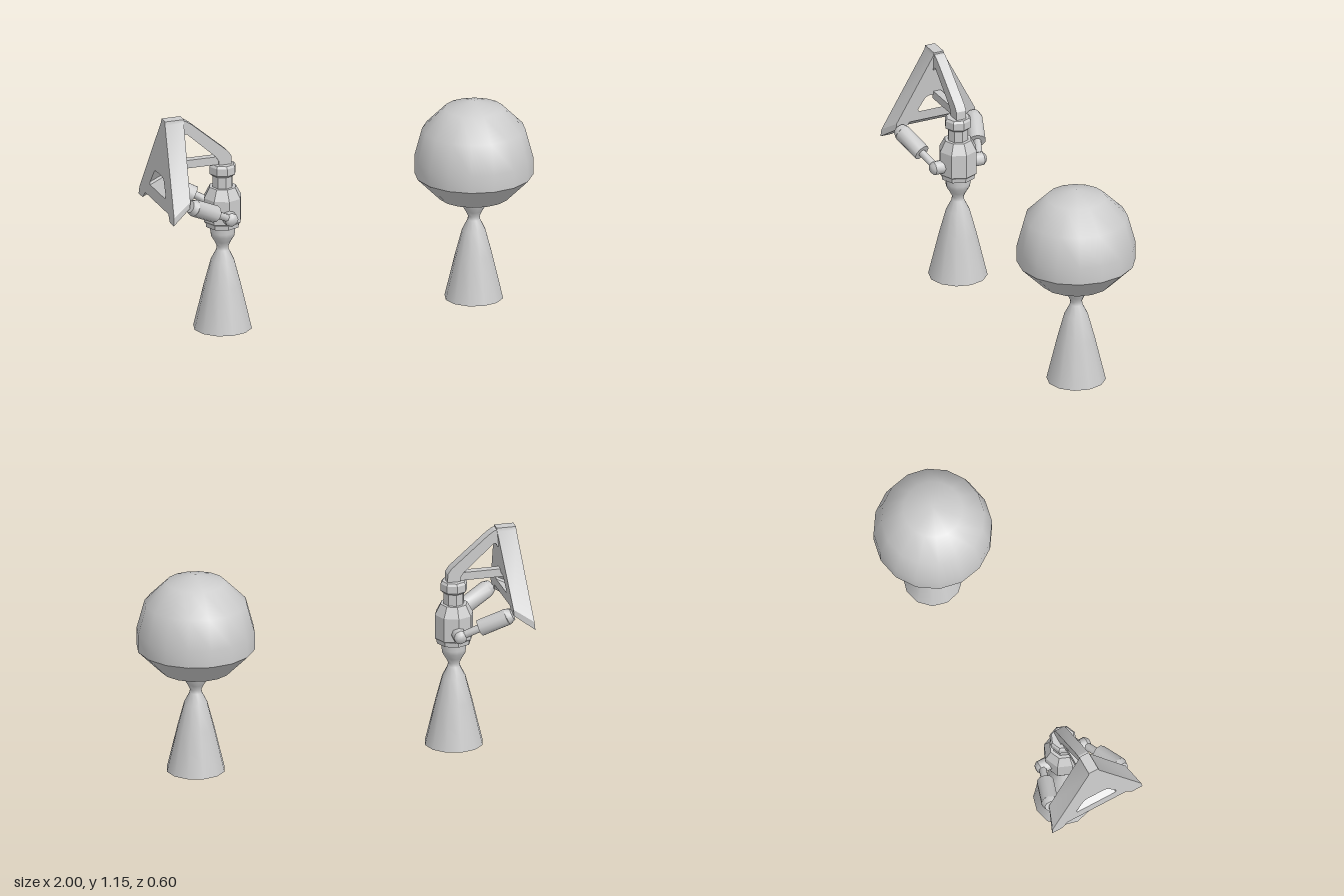
import * as THREE from 'three';
import { toCreasedNormals } from 'three/addons/utils/BufferGeometryUtils.js';

const solid = new THREE.MeshStandardMaterial({ color: 0xcccccc });
const thin = new THREE.MeshStandardMaterial({ color: 0xcccccc, side: THREE.DoubleSide });

const ENGINE_X = -0.645, TANK_X = 0.7;

function add(parent, name, geometry, material = solid) {
  const mesh = new THREE.Mesh(geometry, material);
  mesh.name = name;
  parent.add(mesh);
  return mesh;
}

// Profile of [radius, height] pairs, bottom to top
function lathe(points, sides, crease) {
  const g = new THREE.LatheGeometry(points.map(p => new THREE.Vector2(...p)), sides);
  return crease === undefined ? g : toCreasedNormals(g, crease);
}

function polygon(points, Type = THREE.Shape) {
  return new Type(points.map(p => new THREE.Vector2(...p)));
}

// Cylinder between two points
function rod(parent, name, a, b, radius, sides, endRadius = radius) {
  const dir = b.clone().sub(a);
  const g = toCreasedNormals(new THREE.CylinderGeometry(endRadius, radius, dir.length(), sides), 0.9);
  const mesh = add(parent, name, g);
  mesh.position.copy(a).add(b).multiplyScalar(0.5);
  mesh.quaternion.setFromUnitVectors(new THREE.Vector3(0, 1, 0), dir.normalize());
}

// Open bell nozzle with throat and combustion chamber
function addNozzle(parent, x, y) {
  const bell = lathe([[0.15, 0], [0.095, 0.23], [0.06, 0.36], [0.032, 0.415], [0.03, 0.435],
    [0.042, 0.46], [0.06, 0.49], [0.063, 0.51], [0.063, 0.55]], 12);
  add(parent, 'nozzle', bell, thin).position.set(x, y, 0);
}

// Triangular mounting plate: tilted, narrower on its inner face, with a slot and a notched foot edge
function mountingPlate() {
  const shape = polygon([[-0.26, 0.675], [-0.2, 0.675], [-0.17, 0.71], [0.17, 0.71], [0.2, 0.675],
    [0.26, 0.675], [0.255, 0.715], [0.03, 1.13], [0.027, 1.15], [-0.027, 1.15], [-0.03, 1.13], [-0.255, 0.715]]);
  shape.holes.push(polygon([[-0.11, 0.77], [-0.115, 0.785], [-0.07, 0.855], [-0.05, 0.865],
    [0.05, 0.865], [0.07, 0.855], [0.115, 0.785], [0.11, 0.77]], THREE.Path));
  const g = new THREE.ExtrudeGeometry(shape, { depth: 1, bevelEnabled: false });
  g.rotateY(Math.PI / 2);
  const p = g.attributes.position;
  for (let i = 0; i < p.count; i++) {
    const t = p.getX(i), y = p.getY(i), h = (y - 0.675) / 0.475;
    p.setXYZ(i, -1 + 0.038 * h + 0.1 * t, y + 0.07 * t * (1 - h), p.getZ(i) * (1 - 0.15 * t * (1 - h)));
  }
  return toCreasedNormals(g, 0.4);
}

export function createModel() {
  const root = new THREE.Group();
  root.name = 'twoThrusters';

  // Tank engine: domed tank with conical underside
  const tankEngine = new THREE.Group();
  tankEngine.name = 'tankEngine';
  root.add(tankEngine);
  addNozzle(tankEngine, TANK_X, 0);
  const dome = [90, 60, 30, 0].map(d => {
    const a = (90 - d) * Math.PI / 180;
    return [0.3 * Math.cos(a), 0.75 + 0.3 * Math.sin(a)];
  });
  add(tankEngine, 'tank', lathe([[0, 0.54], [0.18, 0.54], [0.3, 0.66], ...dome], 16, 0.62))
    .position.x = TANK_X;

  // Gimballed engine
  const armEngine = new THREE.Group();
  armEngine.name = 'gimballedEngine';
  root.add(armEngine);
  addNozzle(armEngine, ENGINE_X, 0.007);
  const body = lathe([[0, 0.55], [0.088, 0.55], [0.09, 0.57], [0.099, 0.58], [0.099, 0.705],
    [0.07, 0.76], [0.053, 0.76], [0.053, 0.83], [0, 0.83]], 8, 0.3);
  add(armEngine, 'engineBody', body).position.x = ENGINE_X;
  const collar = lathe([[0, 0.82], [0.055, 0.82], [0.069, 0.832], [0.069, 0.87], [0.06, 0.882], [0, 0.882]], 8, 0.3);
  add(armEngine, 'collar', collar).position.x = ENGINE_X;

  // Mount: plate, bent arm and brace
  const mount = new THREE.Group();
  mount.name = 'mount';
  root.add(mount);
  add(mount, 'mountingPlate', mountingPlate());
  const armShape = polygon([[-0.955, 1.15], [-0.88, 1.143], [-0.85, 1.138], [-0.82, 1.118], [-0.625, 0.952],
    [-0.607, 0.925], [-0.605, 0.875], [-0.672, 0.875], [-0.675, 0.905], [-0.69, 0.928], [-0.845, 1.068],
    [-0.858, 1.068], [-0.866, 1.05], [-0.95, 1.05]]);
  const arm = new THREE.ExtrudeGeometry(armShape, { depth: 0.054, bevelEnabled: false });
  arm.translate(0, 0, -0.027);
  add(mount, 'arm', toCreasedNormals(arm, 0.4));
  add(mount, 'brace', new THREE.BoxGeometry(0.22, 0.042, 0.04)).position.set(-0.785, 0.905, 0);

  // Steering actuators, mirrored front and back
  for (const s of [1, -1]) {
    const actuator = new THREE.Group();
    actuator.name = s > 0 ? 'frontActuator' : 'backActuator';
    root.add(actuator);
    const v = (x, y, z) => new THREE.Vector3(x, y, z * s);
    const foot = v(-0.895, 0.75, 0.207), shoulder = v(-0.87, 0.737, 0.2);
    const tip = v(-0.74, 0.673, 0.155), joint = v(-0.645, 0.622, 0.12);
    rod(actuator, 'sleeveEnd', foot, shoulder, 0.032, 10, 0.044);
    rod(actuator, 'sleeve', shoulder, tip, 0.044, 10);
    rod(actuator, 'pistonRod', tip, joint, 0.02, 8);
    rod(actuator, 'pivot', v(-0.645, 0.622, 0.07), v(-0.645, 0.622, 0.135), 0.036, 8);
    rod(actuator, 'pivotCap', v(-0.645, 0.622, 0.135), v(-0.645, 0.622, 0.153), 0.036, 8, 0.02);
  }
  return root;
}
